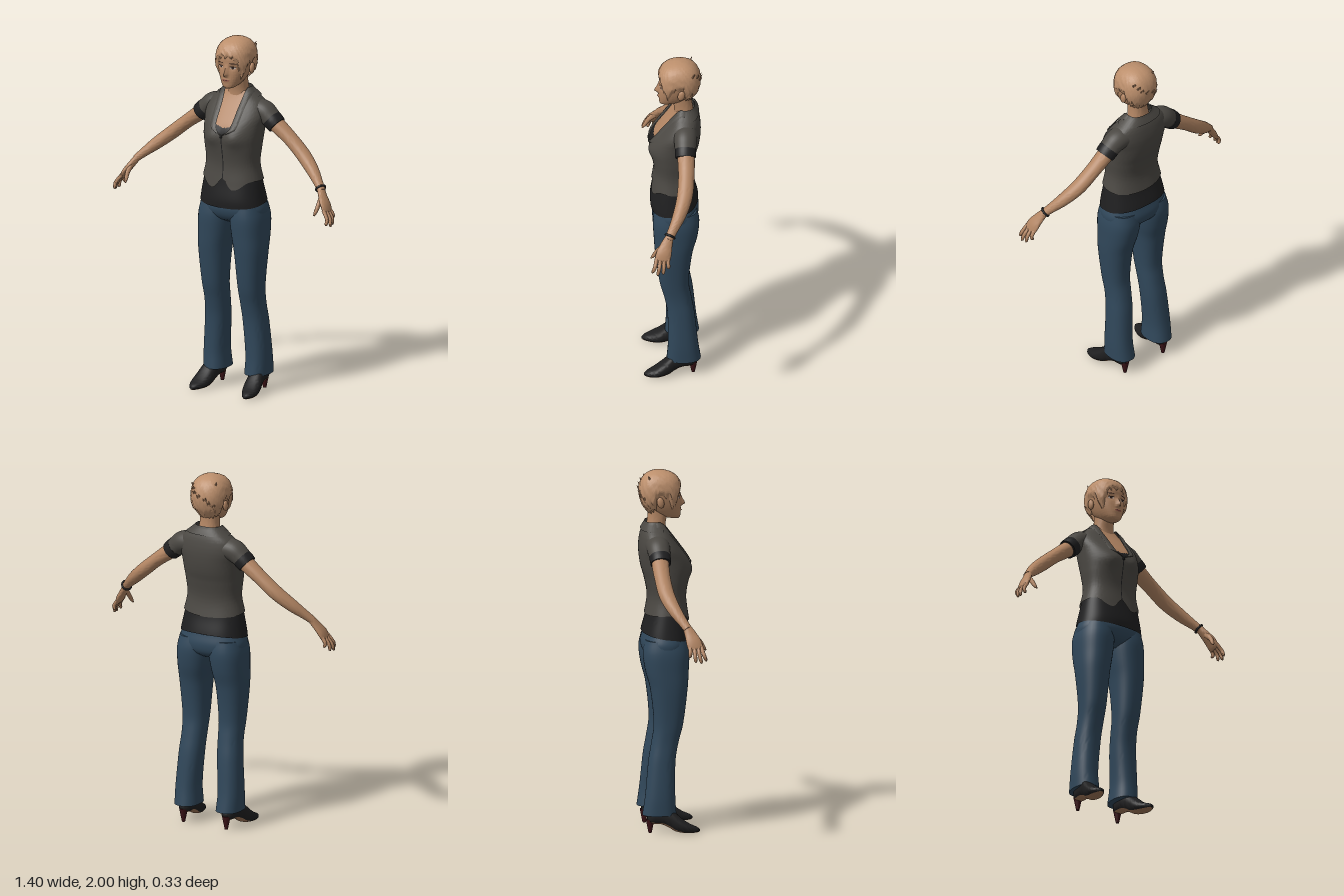
import * as THREE from 'three';
import { toCreasedNormals } from 'three/addons/utils/BufferGeometryUtils.js';

const TAU = Math.PI * 2, P = 0.85;
const material = (name, color, side = THREE.FrontSide) => {
  const m = new THREE.MeshStandardMaterial({ color, side });
  m.name = name;
  return m;
};
const clamp = THREE.MathUtils.clamp;
const spow = v => Math.sign(v) * Math.pow(Math.abs(v), P);
const gauss = v => Math.exp(-v * v);

// Smooth interpolation of a table whose first column is the key
function sample(tab, k) {
  let i = 0;
  while (i < tab.length - 2 && k > tab[i + 1][0]) i++;
  const a = tab[i], b = tab[i + 1], p = tab[i - 1] || a, n = tab[i + 2] || b;
  const h = b[0] - a[0], t = clamp((k - a[0]) / h, 0, 1), t2 = t * t, t3 = t2 * t;
  return a.map((_, c) => {
    const m0 = (b[c] - p[c]) / (b[0] - p[0]) * h, m1 = (n[c] - a[c]) / (n[0] - a[0]) * h;
    return (2 * t3 - 3 * t2 + 1) * a[c] + (t3 - 2 * t2 + t) * m0 + (3 * t2 - 2 * t3) * b[c] + (t3 - t2) * m1;
  });
}

// Surface from fn(u, t, s); capped surfaces get a collapsed row (s = 0) at both ends
function grid(fn, nu, nv, capped) {
  const pos = [], idx = [], rows = capped ? nv + 2 : nv;
  for (let j = 0; j <= rows; j++) {
    const t = capped ? clamp((j - 1) / nv, 0, 1) : j / nv;
    const s = capped && (j === 0 || j === rows) ? 0 : 1;
    for (let i = 0; i <= nu; i++) pos.push(...fn(i / nu, t, s));
  }
  for (let j = 0; j < rows; j++) for (let i = 0; i < nu; i++) {
    const a = j * (nu + 1) + i, b = a + 1, c = a + nu + 1, d = c + 1;
    idx.push(a, b, d, a, d, c);
  }
  const g = new THREE.BufferGeometry();
  g.setAttribute('position', new THREE.Float32BufferAttribute(pos, 3));
  g.setIndex(idx);
  return toCreasedNormals(g, 1.0);
}
const flip = fn => (u, t, s) => { const [x, y, z] = fn(1 - u, t, s); return [-x, y, z]; };

// Point on a horizontal ring; table columns: y, centre x, half width, front z, back z
function ring(tab, y, a, off = 0, s = 1) {
  const [, cx, w, zf, zb] = sample(tab, y);
  return [cx + s * (w + off) * spow(Math.sin(a)), y,
    (zf + zb) / 2 + s * ((zf - zb) / 2 + off) * spow(Math.cos(a))];
}
const loft = tab => (u, t, s) =>
  ring(tab, THREE.MathUtils.lerp(tab[0][0], tab[tab.length - 1][0], t), u * TAU, 0, s);
const angleAt = (tab, x, y) =>
  Math.sign(x) * Math.asin(Math.min(1, Math.pow(Math.abs(x) / sample(tab, y)[2], 1 / P)));

// Limb along a path; sections: x, y, z, thickness radius, width radius
function tube(sec) {
  const curve = new THREE.CatmullRomCurve3(sec.map(s => new THREE.Vector3(s[0], s[1], s[2])));
  const radii = sec.map((s, i) => [i, s[3], s[4]]);
  return (u, t, s) => {
    const T = curve.getTangent(t), B = new THREE.Vector3(0, 0, 1);
    B.addScaledVector(T, -T.z).normalize();
    const N = new THREE.Vector3().crossVectors(B, T), r = sample(radii, t * (sec.length - 1));
    return curve.getPoint(t).addScaledVector(N, s * r[1] * Math.cos(u * TAU))
      .addScaledVector(B, s * r[2] * Math.sin(u * TAU)).toArray();
  };
}

const TORSO = [[1.05, 0, .196, .126, -.14], [1.1, 0, .188, .128, -.136], [1.2, 0, .17, .113, -.11],
  [1.3, 0, .149, .102, -.096], [1.4, 0, .156, .115, -.113], [1.46, 0, .161, .121, -.13],
  [1.52, 0, .166, .105, -.14], [1.58, 0, .174, .064, -.142], [1.64, 0, .152, .02, -.134],
  [1.68, 0, .104, -.004, -.122], [1.715, 0, .066, -.018, -.108]];
const HEAD = [[1.727, 0, .012, .07, .04], [1.735, 0, .034, .077, 0], [1.76, 0, .056, .08, -.06],
  [1.8, 0, .075, .08, -.1], [1.85, 0, .088, .077, -.125], [1.9, 0, .092, .077, -.135],
  [1.95, 0, .08, .058, -.122], [1.98, 0, .045, .02, -.09], [1.99, 0, .01, -.02, -.05]];
const HAIR = [[1.74, 0, .06, .06, -.1], [1.78, 0, .088, .085, -.12], [1.84, 0, .104, .088, -.143],
  [1.89, 0, .107, .088, -.15], [1.94, 0, .097, .075, -.138], [1.975, 0, .072, .045, -.112],
  [1.994, 0, .036, 0, -.076], [2, 0, 0, -.035, -.042]];
const LEG = [[.1, .131, .069, .042, -.145], [.2, .134, .066, .035, -.13], [.4, .121, .067, .038, -.11],
  [.5, .115, .066, .055, -.093], [.6, .115, .07, .08, -.08], [.8, .115, .085, .105, -.1],
  [.9, .107, .095, .112, -.126], [1, .1, .1, .116, -.138], [1.07, .095, .09, .105, -.125]];
const PELVIS = [[.965, 0, .1, .05, -.09], [.99, 0, .175, .095, -.125], [1.04, 0, .196, .119, -.138],
  [1.1, 0, .18, .115, -.126]];
const NECK = [[1.62, 0, .08, .01, -.12], [1.66, 0, .066, -.002, -.113], [1.7, 0, .057, -.003, -.106],
  [1.75, 0, .052, .006, -.1], [1.82, 0, .052, .01, -.1]];
const NOSE = [[1.79, 0], [1.8, .5], [1.808, 1], [1.84, .5], [1.875, 0]];
const HEM = [[0, 1.228], [.28, 1.168], [.9, 1.212], [1.57, 1.213], [3.15, 1.2]];
const HAIRLINE = [[0, 1.9], [.5, 1.885], [.85, 1.81], [1.1, 1.79], [1.3, 1.85], [1.75, 1.86],
  [2, 1.79], [3.15, 1.757]];
const NECKLINE = [[1.475, 0], [1.5, .034], [1.53, .046], [1.62, .052], [1.715, .06]];
// Columns: z, centre x, half width, bottom y, top y
const SHOE = [[-.118, .135, .018, .065, .1], [-.095, .136, .035, .053, .13], [-.04, .14, .041, .048, .14],
  [0, .146, .044, .03, .14], [.03, .152, .047, .012, .115], [.07, .158, .05, .003, .078],
  [.11, .165, .043, .002, .05], [.15, .169, .023, .004, .032], [.167, .17, .005, .008, .02]];

function torsoPoint(y, a, off) {
  const p = ring(TORSO, y, a, off);
  if (Math.cos(a) > 0)
    p[2] += .016 * gauss((Math.abs(p[0]) - .072) / .052) * gauss((y - 1.455) / .05);
  return p;
}
function headPoint(y, a, s = 1) {
  const p = ring(HEAD, y, a, 0, s);
  if (Math.cos(a) > 0 && s) {
    const ax = Math.abs(p[0]);
    p[2] += .026 * gauss(ax / .011) * sample(NOSE, y)[1] - .006 * gauss((ax - .038) / .018) * gauss((y - 1.85) / .014)
      + .004 * gauss(ax / .02) * gauss((y - 1.777) / .009);
  }
  return p;
}
function shoePoint(a, t, s = 1, off = 0) {
  const z = THREE.MathUtils.lerp(-.118, .167, t), [, cx, w, yb, yt] = sample(SHOE, z);
  return [cx - s * (w + off) * spow(Math.sin(a)),
    Math.max(0, (yb + yt) / 2 + s * ((yt - yb) / 2 + off) * spow(Math.cos(a))), z];
}

export function createModel() {
  const D = THREE.DoubleSide, model = new THREE.Group();
  model.name = 'standingWoman';
  const skin = material('skin', 0xb28563), hair = material('hair', 0xbc8f6c, D),
    vest = material('vestGrey', 0x4b4843, D), black = material('blackCloth', 0x1f1f20, D),
    denim = material('denim', 0x30475a), sole = material('soleTan', 0x9c7355, D),
    red = material('darkRed', 0x3c1418), eyeWhite = material('eyeWhite', 0xb9aaa0),
    dark = material('eyeBrown', 0x2c1d18), lip = material('lip', 0x96594a);
  const add = (name, geo, mat) => {
    const m = new THREE.Mesh(geo, mat);
    m.name = name;
    model.add(m);
    return m;
  };
  const part = (name, mat, fn, nu, nv, cap) => add(name, grid(fn, nu, nv, cap), mat);
  const pair = (name, mat, fn, nu, nv, cap) => {
    part(name + 'Left', mat, fn, nu, nv, cap);
    part(name + 'Right', mat, flip(fn), nu, nv, cap);
  };
  const lerp = THREE.MathUtils.lerp;

  // Trousers
  part('trouserSeat', denim, loft(PELVIS), 48, 14, true);
  pair('trouserLeg', denim, loft(LEG), 36, 40, true);

  // Undershirt: hem, and the top edge inside the neckline
  part('undershirt', black, (u, t) => {
    const a = u * TAU;
    return torsoPoint(lerp(1.082 - .022 * Math.cos(a), 1.3, t), a, 0);
  }, 64, 16);
  part('camisoleTop', black, (u, t) => {
    const a = lerp(-.8, .8, u);
    return torsoPoint(lerp(1.42, 1.512 + .05 * Math.abs(a) + .003 * Math.sin(a * 70), t), a, -.001);
  }, 48, 10);

  // Vest with open neckline, lapels and collar
  const edge = y => angleAt(TORSO, sample(NECKLINE, y)[1], y);
  part('vest', vest, (u, t) => {
    const y = lerp(sample(HEM, Math.min(u, 1 - u) * TAU)[1], 1.715, t), a0 = y > 1.475 ? edge(y) : 0;
    return torsoPoint(y, lerp(a0, TAU - a0, u), .007);
  }, 96, 70);
  pair('lapel', vest, (u, t) => {
    const y = lerp(1.465, 1.715, t), x = sample(NECKLINE, y)[1];
    const a1 = angleAt(TORSO, x + .034 * Math.min(1, t * 5), y);
    return torsoPoint(y, lerp(edge(y), a1, u), .008 + .008 * Math.sin(Math.PI * (.15 + .7 * u)));
  }, 8, 36);
  part('collar', vest, (u, t) => torsoPoint(lerp(1.672, 1.718, t), lerp(1.1, TAU - 1.1, u), .009 + .006 * (1 - t)), 48, 6);
  part('vestClosure', black, (u, t) => torsoPoint(lerp(1.228, 1.475, t), lerp(-.008, .008, u), .009), 2, 24);
  const button = add('vestButton', new THREE.SphereGeometry(.009, 12, 8), black);
  button.position.set(0, 1.468, .134);
  button.scale.z = .5;

  // Sleeves and cuffs
  pair('sleeve', vest, tube([[.09, 1.6, -.062, .06, .066], [.16, 1.59, -.06, .061, .064],
    [.2, 1.563, -.058, .055, .059], [.226, 1.54, -.057, .052, .056]]), 32, 16, true);
  pair('cuff', black, tube([[.208, 1.556, -.058, .055, .058], [.226, 1.54, -.057, .055, .058],
    [.244, 1.524, -.057, .052, .056]]), 32, 6, true);

  // Arms, hands and bracelet
  pair('arm', skin, tube([[.17, 1.58, -.057, .045, .046], [.25, 1.52, -.06, .043, .047],
    [.33, 1.46, -.058, .038, .044], [.42, 1.385, -.045, .038, .043], [.5, 1.318, -.012, .034, .036],
    [.56, 1.265, .025, .025, .027], [.597, 1.23, .05, .02, .024]]), 28, 40, true);
  pair('palm', skin, tube([[.587, 1.24, .044, .019, .023], [.612, 1.203, .062, .018, .033],
    [.638, 1.165, .077, .017, .042], [.655, 1.132, .086, .012, .041], [.66, 1.122, .088, .007, .034]]), 24, 16, true);
  const tips = [[.668, 1.085, .052], [.688, 1.062, .083], [.694, 1.058, .114], [.682, 1.068, .142]];
  tips.forEach(([x, y, z], i) => {
    const bz = .056 + .02 * i;
    pair('finger' + (i + 1), skin, tube([[.648, 1.145, bz, .01, .011],
      [(.66 + x) / 2 + .008, (1.13 + y) / 2, (bz + z) / 2, .01, .0105],
      [lerp(.66, x, .9), lerp(1.13, y, .9), lerp(bz, z, .9), .008, .0085], [x, y, z, .003, .003]]), 12, 14, true);
  });
  pair('thumb', skin, tube([[.608, 1.2, .075, .013, .016], [.612, 1.165, .112, .012, .013],
    [.608, 1.132, .134, .01, .01], [.605, 1.115, .147, .004, .004]]), 12, 14, true);
  const bracelet = add('bracelet', new THREE.TorusGeometry(.026, .006, 8, 28), black);
  bracelet.position.set(.584, 1.243, .041);
  bracelet.quaternion.setFromUnitVectors(new THREE.Vector3(0, 0, 1), new THREE.Vector3(.65, -.65, .4).normalize());

  // Chest, neck and head
  part('chest', skin, (u, t) => torsoPoint(lerp(1.42, 1.7, t), lerp(-1.2, 1.2, u), -.004), 40, 24);
  part('neck', skin, loft(NECK), 36, 14, true);
  part('head', skin, (u, t, s) => headPoint(lerp(1.727, 1.99, t), u * TAU, s), 96, 70, true);
  const decal = (name, mat, cx, cy, rx, ry, off) => part(name, mat, (u, t) => {
    const x = cx + rx * (1 - t) * Math.cos(u * TAU), y = cy + ry * (1 - t) * Math.sin(u * TAU);
    const p = headPoint(y, angleAt(HEAD, x, y));
    return [x, y, p[2] + off];
  }, 20, 4);
  for (const [side, s] of [['Left', 1], ['Right', -1]]) {
    decal('eye' + side, eyeWhite, s * .038, 1.849, .016, .0065, .003);
    decal('iris' + side, dark, s * .038, 1.849, .007, .0065, .0045);
    decal('eyelid' + side, dark, s * .039, 1.856, .018, .0025, .0045);
    decal('eyebrow' + side, dark, s * .04, 1.874, .02, .0025, .003);
    const ear = add('ear' + side, new THREE.SphereGeometry(1, 16, 12), skin);
    ear.scale.set(.013, .031, .02);
    ear.position.set(s * .094, 1.832, -.04);
    ear.rotation.x = -.2;
  }
  decal('lips', lip, 0, 1.777, .023, .0065, .003);
  decal('mouthLine', dark, 0, 1.777, .021, .001, .0045);

  // Short hair with ragged edge and tufts
  const hairPoint = (u, t) => {
    const a = u * TAU, d = Math.min(u, 1 - u) * TAU;
    const low = sample(HAIRLINE, d)[1] + .007 * Math.sin(23 * a) + .005 * Math.sin(41 * a);
    const y = lerp(low, 2, Math.sin(t * Math.PI / 2));
    const off = -.014 * (1 - Math.min(1, t * 7)) + .002 * Math.sin(17 * a + 30 * t) * (1 - t);
    return ring(HAIR, y, a, off);
  };
  part('hair', hair, hairPoint, 120, 40);
  for (let i = 0; i < 16; i++) {
    const a = 2.2 + 1.9 * ((i * .618) % 1), y = 1.83 + .135 * ((i * .37) % 1);
    const p = ring(HAIR, y, a, -.004);
    const tuft = add('hairTuft', new THREE.ConeGeometry(.013, .045, 6), hair);
    tuft.position.set(...p);
    tuft.quaternion.setFromUnitVectors(new THREE.Vector3(0, 1, 0),
      new THREE.Vector3(Math.sin(a) * .5, .8, Math.cos(a) * .6).normalize());
  }

  // Heeled shoes
  pair('shoe', black, (u, t, s) => shoePoint(u * TAU, t, s), 28, 36, true);
  pair('shoeSole', sole, (u, t) => {
    const p = shoePoint(lerp(2.35, 3.93, u), lerp(.04, .98, t));
    return [p[0], Math.max(0, p[1] - .002), p[2]];
  }, 10, 36);
  for (const s of [1, -1]) {
    const heel = add(s > 0 ? 'heelLeft' : 'heelRight', new THREE.CylinderGeometry(.024, .009, .075, 16), red);
    heel.position.set(s * .136, .0375, -.103);
  }
  return model;
}
